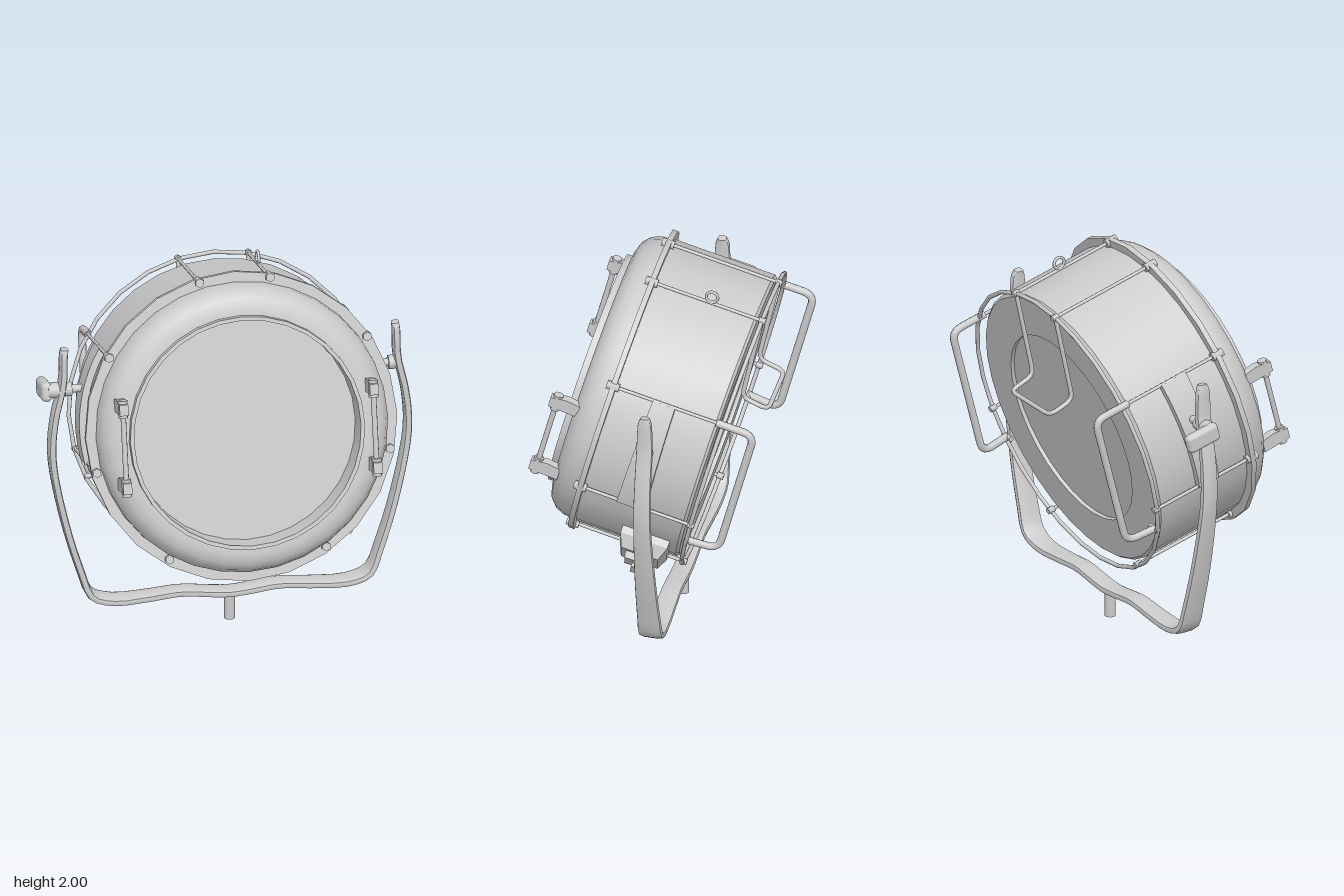
import * as THREE from 'three';
import { toCreasedNormals } from 'three/addons/utils/BufferGeometryUtils.js';
import { RoundedBoxGeometry } from 'three/addons/geometries/RoundedBoxGeometry.js';

const grey = new THREE.MeshStandardMaterial({ color: 0xcccccc });
const V = (x, y, z) => new THREE.Vector3(x, y, z);

function add(parent, name, geometry, x = 0, y = 0, z = 0) {
  const mesh = new THREE.Mesh(geometry, grey);
  mesh.name = name;
  mesh.position.set(x, y, z);
  parent.add(mesh);
  return mesh;
}

// Surface of revolution about z; profile points are [radius, z] from back to front
function turned(profile, sides) {
  const g = new THREE.LatheGeometry(profile.map(([r, z]) => new THREE.Vector2(r, z)), sides);
  return toCreasedNormals(g.rotateX(Math.PI / 2), 0.6);
}

// Straight rod between two points
function rod(parent, name, a, b, r, sides = 8) {
  const d = b.clone().sub(a);
  const m = add(parent, name, new THREE.CylinderGeometry(r, r, d.length(), sides));
  m.position.copy(a).addScaledVector(d, 0.5);
  m.quaternion.setFromUnitVectors(V(0, 1, 0), d.normalize());
  return m;
}

// Bent wire with rounded corners through the given points
function wire(parent, name, pts, r, bend = 0.05) {
  const path = new THREE.CurvePath();
  let last = pts[0];
  for (let i = 1; i < pts.length - 1; i++) {
    const p = pts[i];
    const a = p.clone().add(pts[i - 1].clone().sub(p).setLength(bend));
    const b = p.clone().add(pts[i + 1].clone().sub(p).setLength(bend));
    path.add(new THREE.LineCurve3(last, a));
    path.add(new THREE.QuadraticBezierCurve3(a, p, b));
    last = b;
  }
  path.add(new THREE.LineCurve3(last, pts[pts.length - 1]));
  return add(parent, name, new THREE.TubeGeometry(path, 64, r, 8));
}

// Flat bar swept along a path in the xy plane, with changing half width in z
function sweptBar(points, halfThick, n = 72, sides = 12) {
  const curve = new THREE.CatmullRomCurve3(points.map(([x, y]) => V(x, y, 0)));
  const widths = new THREE.CatmullRomCurve3(points.map(([, , w], i) => V(i, w, 0)));
  const pos = [], index = [];
  const soft = (v) => Math.sign(v) * Math.pow(Math.abs(v), 0.6);
  for (let i = 0; i <= n; i++) {
    const t = i / n, p = curve.getPoint(t), d = curve.getTangent(t), w = widths.getPoint(t).y;
    for (let j = 0; j < sides; j++) {
      const a = (j / sides) * Math.PI * 2, h = halfThick * soft(Math.cos(a));
      pos.push(p.x - d.y * h, p.y + d.x * h, w * soft(Math.sin(a)));
      const k = (j + 1) % sides, A = i * sides + j, B = i * sides + k;
      if (i < n) index.push(A, B, B + sides, A, B + sides, A + sides);
    }
  }
  const end = n * sides;
  for (let j = 1; j < sides - 1; j++) {
    index.push(0, j + 1, j, end, end + j, end + j + 1);
  }
  const g = new THREE.BufferGeometry();
  g.setAttribute('position', new THREE.Float32BufferAttribute(pos, 3));
  g.setIndex(index);
  return toCreasedNormals(g, 0.8);
}

function addHousing(head) {
  // Drum with a recessed back plate
  add(head, 'drum', turned([[0, -0.54], [0.52, -0.54], [0.52, -0.56], [0.735, -0.56],
    [0.75, -0.545], [0.75, 0]], 32));
  // Rounded front bell, lip and recessed glass
  add(head, 'frontBell', turned([[0.745, 0], [0.742, 0.055], [0.722, 0.105], [0.685, 0.14],
    [0.64, 0.155], [0.6, 0.155], [0.6, 0.19], [0.58, 0.19], [0.575, 0.045]], 32));
  add(head, 'glass', new THREE.CircleGeometry(0.58, 32), 0, 0, 0.05);
  add(head, 'flange', turned([[0.74, -0.014], [0.797, -0.014], [0.797, 0.014], [0.73, 0.014]], 24));
}

function addCage(head) {
  const back = -0.585;
  const ring = new THREE.TorusGeometry(0.775, 0.011, 8, 28);
  add(head, 'guardRing', ring, 0, 0, back);
  const spots = [[0.18, 0.755], [0.66, 0.41], [0.75, -0.175], [0.4, -0.65]];
  for (const s of [-1, 1]) {
    for (const [x, y] of spots) {
      rod(head, 'guardRod', V(s * x, y, 0.01), V(s * x, y, back - 0.01), 0.009);
      rod(head, 'flangeBolt', V(s * x, y, -0.03), V(s * x, y, 0.035), 0.024, 6);
      rod(head, 'ringBolt', V(s * x, y, back - 0.02), V(s * x, y, back + 0.015), 0.018, 6);
    }
    // Side grab handle
    wire(head, 'sideHandle', [V(s * 0.66, 0.41, -0.55), V(s * 0.66, 0.41, -0.75),
      V(s * 0.66, -0.32, -0.75), V(s * 0.68, -0.32, back)], 0.02, 0.06);
    rod(head, 'handleFoot', V(s * 0.64, -0.32, back), V(s * 0.71, -0.32, back), 0.014);
  }
  // Rear handle hanging from the top rods
  wire(head, 'rearHandle', [V(-0.18, 0.755, back), V(-0.18, 0.27, back - 0.02), V(-0.18, 0.25, -0.75),
    V(0.18, 0.25, -0.75), V(0.18, 0.27, back - 0.02), V(0.18, 0.755, back)], 0.012, 0.045);
  // Small hanging eye
  const eye = add(head, 'hangingEye', new THREE.TorusGeometry(0.03, 0.008, 8, 16), 0.18, 0.79, -0.31);
  eye.rotation.y = Math.PI / 2;
}

function addSideStraps(head) {
  const shape = new THREE.Shape();
  const a0 = -0.23, a1 = 0.555;
  shape.absarc(0, 0, 0.788, a0, a1, false);
  shape.absarc(0, 0, 0.752, a1, a0, true);
  for (const s of [-1, 1]) {
    const g = new THREE.ExtrudeGeometry(shape, { depth: 0.15, bevelEnabled: false, curveSegments: 10 });
    // Narrower toward the top
    const p = g.attributes.position;
    for (let i = 0; i < p.count; i++) {
      const k = 1 - 0.35 * (p.getY(i) + 0.18);
      p.setZ(i, (p.getZ(i) - 0.075) * k);
    }
    const strap = add(head, 'pivotStrap', toCreasedNormals(g, 0.5), 0, 0, -0.27);
    if (s < 0) strap.rotation.z = Math.PI - 0.325;
  }
}

function addLatches(head) {
  for (const s of [-1, 1]) {
    const latch = new THREE.Group();
    latch.name = 'frontLatch';
    latch.position.x = s * 0.64;
    head.add(latch);
    for (const y of [0.19, -0.215]) {
      const hook = new THREE.Shape();
      hook.moveTo(0.13, -0.035).lineTo(0.285, -0.028).lineTo(0.285, 0.028).lineTo(0.2, 0.04).lineTo(0.13, 0.03);
      const g = new THREE.ExtrudeGeometry(hook, { depth: 0.045, bevelEnabled: false });
      add(latch, 'latchBracket', g.rotateY(-Math.PI / 2), 0.0225, y, 0);
      rod(latch, 'latchNut', V(0, y - 0.045, 0.25), V(0, y + 0.045, 0.25), 0.025);
    }
    rod(latch, 'latchBar', V(0, -0.25, 0.25), V(0, 0.23, 0.25), 0.014);
  }
}

function addSwitchBox(head) {
  // Tapered box on the lower side of the drum; local +y points outward
  const box = new THREE.Group();
  box.name = 'switchBox';
  box.rotation.z = -Math.PI / 2 - 0.8;
  head.add(box);
  const frame = (name, w, d, y0, y1, taper) => {
    const g = new THREE.CylinderGeometry(Math.SQRT1_2 * taper, Math.SQRT1_2, y1 - y0, 4);
    g.rotateY(Math.PI / 4).scale(w, 1, d);
    add(box, name, g.toNonIndexed(), 0, (y0 + y1) / 2, -0.38).geometry.computeVertexNormals();
  };
  frame('switchBase', 0.36, 0.25, 0.66, 0.765, 1);
  frame('switchHood', 0.36, 0.25, 0.765, 0.83, 0.78);
  frame('switchPlate', 0.2, 0.15, 0.82, 0.865, 0.9);
  const lever = add(box, 'switchLever', new THREE.BoxGeometry(0.07, 0.05, 0.05), 0.02, 0.87, -0.38);
  lever.rotation.z = 0.25;
}

function addYoke(base) {
  // Half outline as [x, y, half width], mirrored to a full bow
  const half = [[0.845, 1.585, 0.022], [0.85, 1.55, 0.036], [0.855, 1.4, 0.042], [0.893, 1.22, 0.043],
    [0.91, 1.05, 0.045], [0.9, 0.9, 0.047], [0.835, 0.58, 0.055], [0.765, 0.34, 0.06],
    [0.71, 0.2, 0.064], [0.6, 0.158, 0.06], [0.42, 0.162, 0.055], [0.25, 0.175, 0.052], [0.1, 0.158, 0.052]];
  const left = half.map(([x, y, w]) => [-x, y, w]);
  add(base, 'yoke', sweptBar([...left, [0, 0.15, 0.052], ...half.reverse()], 0.02));
  rod(base, 'mountingPost', V(0, 0, 0), V(0, 0.15, 0), 0.028, 16);
  for (const s of [-1, 1]) {
    rod(base, 'pivotPin', V(s * 0.72, 1.36, 0), V(s * 0.87, 1.36, 0), 0.02, 12);
    rod(base, 'pivotCollar', V(s * 0.81, 1.36, 0), V(s * 0.845, 1.36, 0), 0.036, 12);
  }
  // Clamp knob with lever on one side only
  rod(base, 'clampHub', V(-0.86, 1.36, 0), V(-0.93, 1.36, 0), 0.04, 12);
  const lever = add(base, 'clampLever', new RoundedBoxGeometry(0.055, 0.1, 0.19, 3, 0.025), -0.938, 1.34, -0.06);
  lever.rotation.x = -0.25;
}

export function createModel() {
  const model = new THREE.Group();
  model.name = 'studioLamp';

  // Lamp head, tilted upward
  const head = new THREE.Group();
  head.name = 'lampHead';
  head.position.set(0.02, 1.23, 0.25);
  head.rotation.x = -0.255;
  model.add(head);
  addHousing(head);
  addCage(head);
  addSideStraps(head);
  addLatches(head);
  addSwitchBox(head);

  const base = new THREE.Group();
  base.name = 'stand';
  base.position.set(0.02, 0, -0.06);
  model.add(base);
  addYoke(base);
  return model;
}
